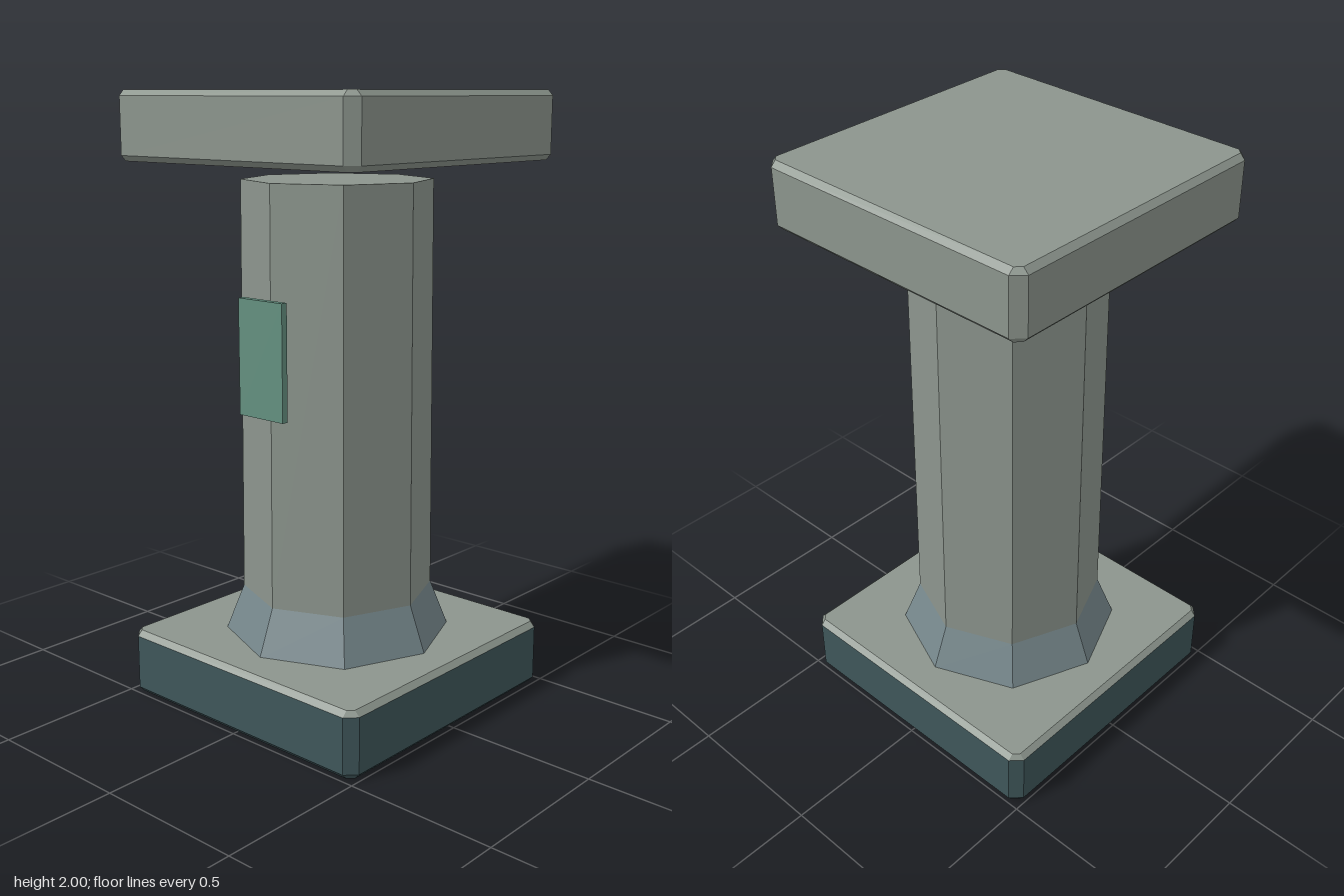
import * as THREE from 'three';

const material = (color) => new THREE.MeshStandardMaterial({ color, flatShading: true });
const stone = material(0x8c958d);
const darkStone = material(0x3f565a);
const dampStone = material(0x76878b);
const plaqueGreen = material(0x649080);

// Square outline with cut corners: sides at h, side ends at c
function squareRing(y, h, c = 0.46) {
  return [[-c, h], [c, h], [h, c], [h, -c], [c, -h], [-c, -h], [-h, -c], [-h, c]]
    .map(([x, z]) => [x, y, z]);
}

// Regular octagon with a corner pointing to the front
function octagonRing(y, r) {
  return Array.from({ length: 8 }, (_, i) => {
    const a = (i * Math.PI) / 4;
    return [r * Math.sin(a), y, r * Math.cos(a)];
  });
}

// Joins rings from bottom to top, with optional flat ends
function loft(name, mat, rings, { bottom = false, top = false } = {}) {
  const n = rings[0].length;
  const index = [];
  for (let k = 0; k < rings.length - 1; k++) {
    for (let i = 0; i < n; i++) {
      const a = k * n + i;
      const b = k * n + ((i + 1) % n);
      index.push(a, b, b + n, a, b + n, a + n);
    }
  }
  const last = (rings.length - 1) * n;
  for (let i = 1; i < n - 1; i++) {
    if (bottom) index.push(0, i + 1, i);
    if (top) index.push(last, last + i, last + i + 1);
  }
  const indexed = new THREE.BufferGeometry();
  indexed.setAttribute('position', new THREE.Float32BufferAttribute(rings.flat(2), 3));
  indexed.setIndex(index);
  const geometry = indexed.toNonIndexed();
  geometry.computeVertexNormals();
  const mesh = new THREE.Mesh(geometry, mat);
  mesh.name = name;
  return mesh;
}

export function createModel() {
  const model = new THREE.Group();
  model.name = 'pillar';
  const outer = 0.495;
  const inner = 0.478;
  const bevel = 0.018;

  // Base slab: dark sides and underside, lighter top
  const base = new THREE.Group();
  base.name = 'base';
  const baseTop = 0.22;
  base.add(
    loft('baseSides', darkStone,
      [squareRing(0, inner), squareRing(bevel, outer), squareRing(baseTop - bevel, outer)],
      { bottom: true }),
    loft('baseTop', stone,
      [squareRing(baseTop - bevel, outer), squareRing(baseTop, inner)],
      { top: true }),
  );

  // Flared foot and tapering eight-sided shaft
  const foot = loft('shaftFoot', dampStone, [octagonRing(0.217, 0.376), octagonRing(0.37, 0.316)]);
  const shaft = loft('shaft', stone, [octagonRing(0.37, 0.316), octagonRing(1.725, 0.307)], { top: true });

  // Cap slab, set a little above the shaft
  const cap = loft('cap', stone, [
    squareRing(1.782, inner),
    squareRing(1.782 + bevel, outer),
    squareRing(2 - bevel, outer),
    squareRing(2, inner),
  ], { bottom: true, top: true });

  // Thin plaque in front of the shaft
  const plaque = new THREE.Mesh(new THREE.BoxGeometry(0.185, 0.37, 0.022), plaqueGreen);
  plaque.name = 'plaque';
  plaque.position.set(0, 1.19, 0.345);

  model.add(base, foot, shaft, cap, plaque);
  return model;
}
